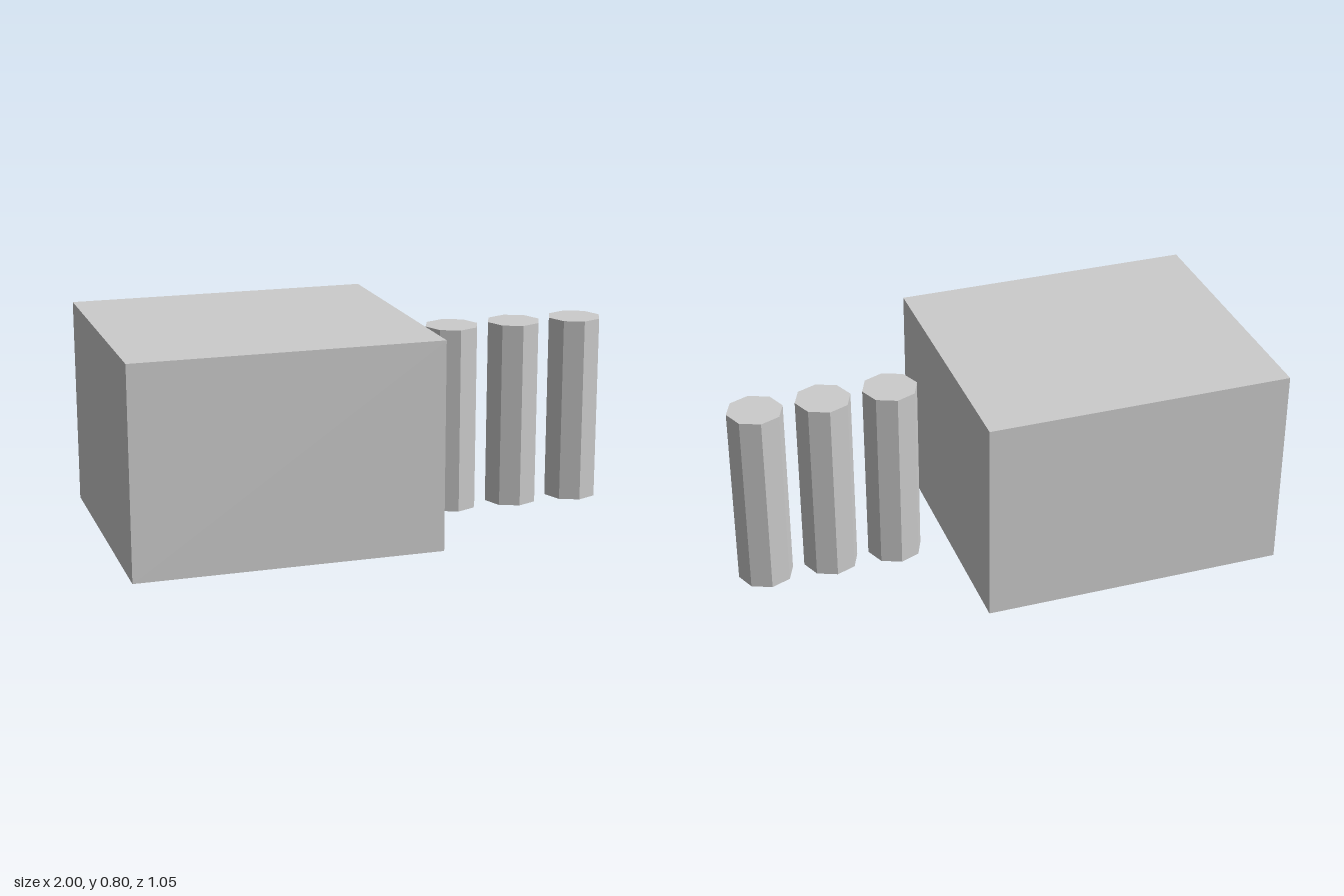
import * as THREE from 'three';

export function createModel() {
  const model = new THREE.Group();
  const grey = new THREE.MeshStandardMaterial({ color: 0xcccccc, flatShading: true });
  grey.name = 'light grey';

  function add(name, geometry, x, height) {
    const mesh = new THREE.Mesh(geometry, grey);
    mesh.name = name;
    mesh.position.set(x, height / 2, 0);
    model.add(mesh);
  }

  // Large block
  const blockWidth = 1.167, blockHeight = 0.798;
  add('block', new THREE.BoxGeometry(blockWidth, blockHeight, 1.054), -1 + blockWidth / 2, blockHeight);

  // Row of three octagonal posts, corners on the x and z axes
  const radius = 0.106, postHeight = 0.727, spacing = 0.257;
  const post = new THREE.CylinderGeometry(radius, radius, postHeight, 8);
  for (let i = 0; i < 3; i++) {
    add(`post${i + 1}`, post, 1 - radius - (2 - i) * spacing, postHeight);
  }

  return model;
}
